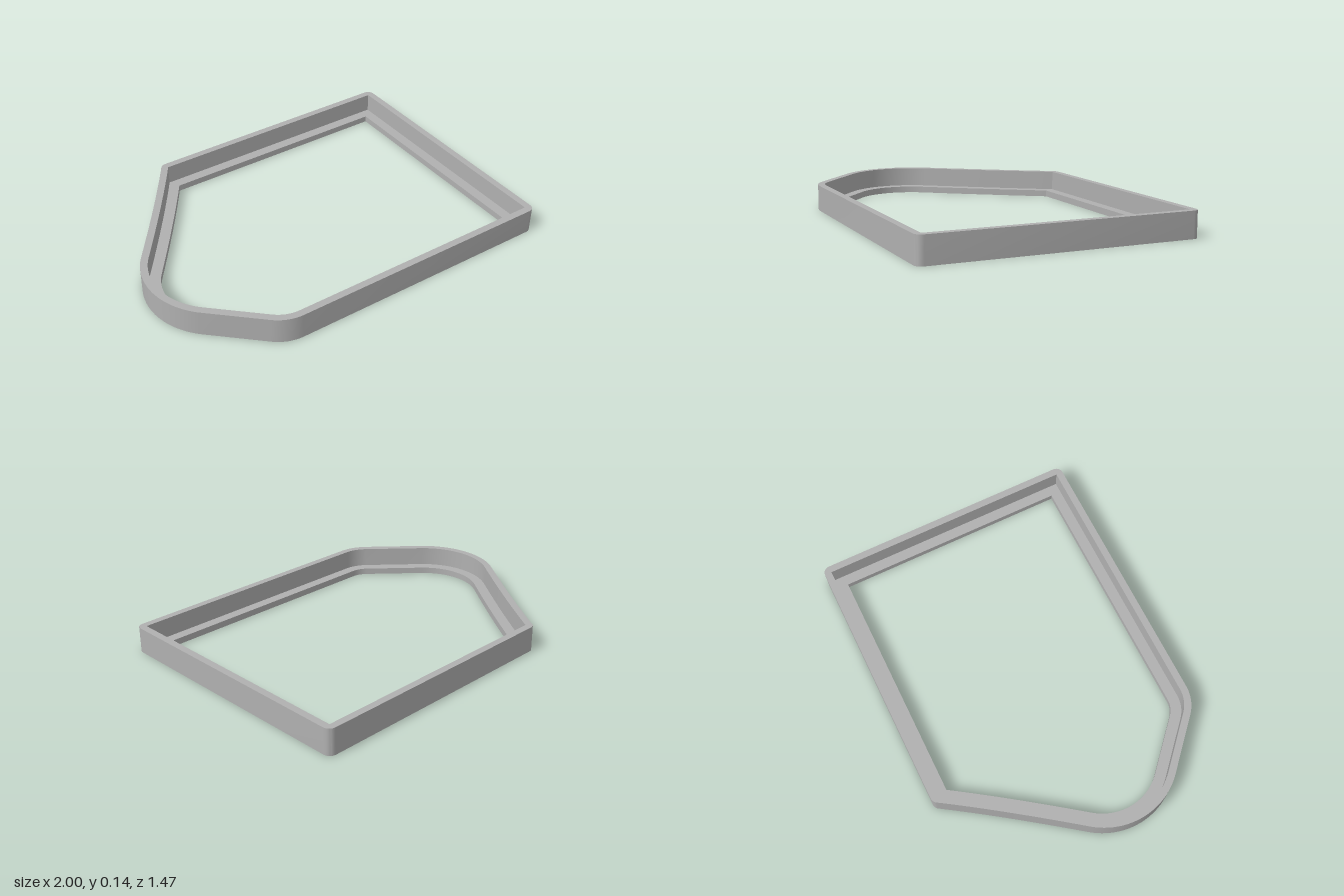
import * as THREE from 'three';
import { toCreasedNormals } from 'three/addons/utils/BufferGeometryUtils.js';

const HEIGHT = 0.14, LEDGE = 0.035;   // rim top and ledge top
const OUT = 0.038, IN = -0.0575;      // offsets from the rim's inner line
const CORNER_STEPS = 6;

// Points along an arc; angle 0 points to +z and grows towards -x
function arc(cx, cz, r, from, to, n) {
  return Array.from({ length: n + 1 }, (_, i) => {
    const a = THREE.MathUtils.degToRad(from + (to - from) * i / n);
    return new THREE.Vector2(cx - r * Math.sin(a), cz + r * Math.cos(a));
  });
}

// Closed inner line of the rim in (x, z)
function rimLine() {
  const corner = new THREE.Vector2(-0.435, -0.6945);
  const nose = arc(-0.61, 0.163, 0.352, 42.3, 126.87, 24);
  const join = nose[nose.length - 1];
  const flank = new THREE.QuadraticBezierCurve(join, new THREE.Vector2(-0.613, -0.42), corner);
  return [
    corner,
    new THREE.Vector2(0.962, -0.6945),
    new THREE.Vector2(0.962, 0.6945),
    ...arc(-0.48, 0.5125, 0.182, 0, 42.3, 10),
    ...nose,
    ...flank.getPoints(14).slice(1, -1),
  ];
}

// Offset a closed line: sharp corners are rounded outwards and mitred inwards
function offsetLine(line, d) {
  const n = line.length, result = [];
  const normal = (a, b) => new THREE.Vector2(b.y - a.y, a.x - b.x).normalize();
  line.forEach((p, i) => {
    const n0 = normal(line[(i + n - 1) % n], p);
    const n1 = normal(p, line[(i + 1) % n]);
    const turn = Math.acos(THREE.MathUtils.clamp(n0.dot(n1), -1, 1));
    const mitre = n0.clone().add(n1).multiplyScalar(d / (1 + n0.dot(n1)));
    if (turn < 0.4) {
      result.push(p.clone().add(mitre));
      return;
    }
    for (let k = 0; k <= CORNER_STEPS; k++) {
      const round = n0.clone().rotateAround(new THREE.Vector2(), turn * k / CORNER_STEPS);
      result.push(p.clone().add(d > 0 ? round.multiplyScalar(d) : mitre));
    }
  });
  return result;
}

// Sweep a cross-section of [line, height] pairs round the frame
function sweep(section) {
  const pos = [], n = section[0][0].length;
  const at = (j, i) => {
    const [line, y] = section[j], p = line[i % n];
    return new THREE.Vector3(p.x, y, p.y);
  };
  const tri = (a, b, c) => {
    const area = b.clone().sub(a).cross(c.clone().sub(a)).length();
    if (area > 1e-9) [a, b, c].forEach(v => pos.push(v.x, v.y, v.z));
  };
  for (let j = 0; j < section.length - 1; j++) {
    for (let i = 0; i < n; i++) {
      tri(at(j, i), at(j + 1, i), at(j, i + 1));
      tri(at(j + 1, i), at(j + 1, i + 1), at(j, i + 1));
    }
  }
  const geo = new THREE.BufferGeometry();
  geo.setAttribute('position', new THREE.Float32BufferAttribute(pos, 3));
  return toCreasedNormals(geo, 0.5);
}

export function createModel() {
  const group = new THREE.Group();
  group.name = 'frame';
  const grey = new THREE.MeshStandardMaterial({ color: 0xb0b0b0 });
  grey.name = 'grey';

  const base = rimLine();
  const outer = offsetLine(base, OUT), mid = offsetLine(base, 0), inner = offsetLine(base, IN);

  // Upright wall: outside, top edge and inside down to the ledge
  const rim = new THREE.Mesh(sweep([[outer, 0], [outer, HEIGHT], [mid, HEIGHT], [mid, LEDGE]]), grey);
  rim.name = 'rim';

  // Ledge: top, inner edge and the underside of the whole frame
  const ledge = new THREE.Mesh(sweep([[mid, LEDGE], [inner, LEDGE], [inner, 0], [outer, 0]]), grey);
  ledge.name = 'ledge';

  group.add(rim, ledge);
  return group;
}
